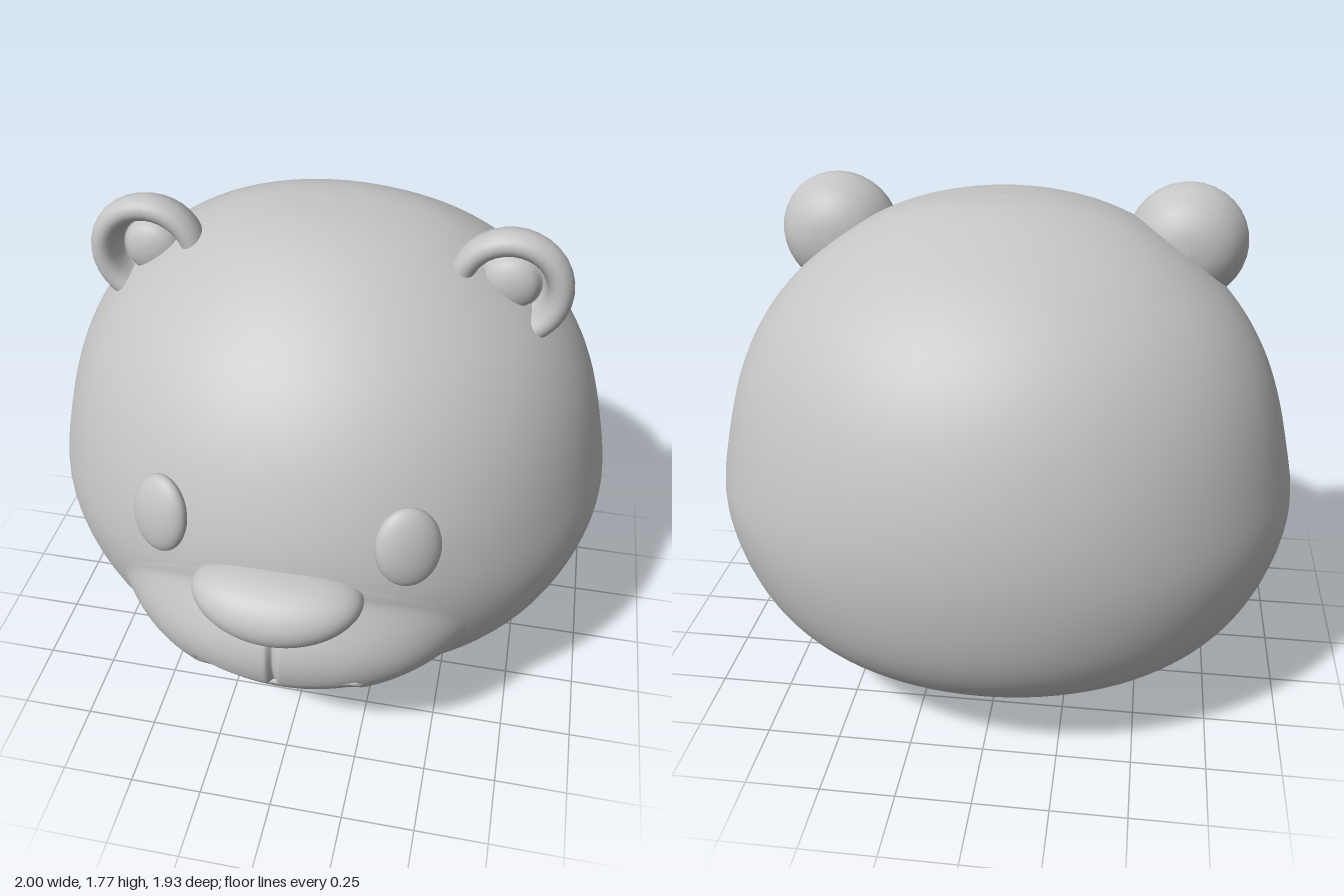
import * as THREE from 'three';

const grey = new THREE.MeshStandardMaterial({ name: 'plain grey', color: 0xc4c4c4 });

// head sections from bottom to top: height, half width, front z, back z
const sections = [
  [0, 0, -0.12, -0.12], [0.012, 0.2, 0, -0.25], [0.05, 0.4, 0.13, -0.39],
  [0.13, 0.6, 0.31, -0.58], [0.27, 0.8, 0.58, -0.8], [0.45, 0.93, 0.74, -0.92],
  [0.7, 1, 0.81, -0.968], [0.95, 0.965, 0.8, -0.95], [1.2, 0.89, 0.71, -0.87],
  [1.4, 0.77, 0.58, -0.75], [1.56, 0.6, 0.41, -0.58], [1.68, 0.4, 0.22, -0.38],
  [1.735, 0.2, 0.06, -0.25], [1.75, 0, -0.12, -0.12],
];
const MID_Z = -0.13;
const spline = (f) => new THREE.CatmullRomCurve3(sections.map(f), false, 'catmullrom', 0.5);
const sideCurve = spline(([y, w]) => new THREE.Vector3(w, y, 0));
const depthCurve = spline(([, , f, b]) => new THREE.Vector3(f, b, 0));

// height of the head's front surface above the xy plane
function headZ(x, y) {
  let lo = 0, hi = 1;
  for (let i = 0; i < 24; i++) {
    const m = (lo + hi) / 2;
    if (sideCurve.getPoint(m).y < y) lo = m; else hi = m;
  }
  const w = sideCurve.getPoint(lo).x, f = depthCurve.getPoint(lo).x;
  return MID_Z + (f - MID_Z) * Math.sqrt(Math.max(0, 1 - (x / w) ** 2));
}

// surface closed around u, open along v
function loopSurface(nu, nv, fn) {
  const pos = [], idx = [];
  for (let j = 0; j <= nv; j++)
    for (let i = 0; i < nu; i++) pos.push(...fn((i / nu) * Math.PI * 2, j / nv));
  for (let j = 0; j < nv; j++)
    for (let i = 0; i < nu; i++) {
      const a = j * nu + i, b = j * nu + ((i + 1) % nu);
      idx.push(a, b, b + nu, a, b + nu, a + nu);
    }
  const g = new THREE.BufferGeometry();
  g.setAttribute('position', new THREE.Float32BufferAttribute(pos, 3));
  g.setIndex(idx);
  g.computeVertexNormals();
  return g;
}

function headGeometry() {
  return loopSurface(96, 78, (t, v) => {
    const s = sideCurve.getPoint(v), d = depthCurve.getPoint(v);
    const mid = THREE.MathUtils.lerp(-0.12, MID_Z, Math.min(1, s.x * 2));
    const c = Math.cos(t);
    return [s.x * Math.sin(t), s.y, mid + (c > 0 ? d.x - mid : mid - d.y) * c];
  });
}

// muzzle swelling blended into the face, with mouth and lip grooves
function muzzleGeometry() {
  const step = THREE.MathUtils.smoothstep;
  return loopSurface(200, 90, (t, r) => {
    const x = 0.68 * r * Math.cos(-t), y = 0.58 + 0.38 * r * Math.sin(-t);
    const q = (x / 0.6) ** 2 + ((y - 0.6) / 0.33) ** 2;
    const bulge = 0.45 + 0.46 * Math.sqrt(Math.max(0, 1 - q));
    const base = headZ(x, y), k = 0.08;
    let z = Math.max(base, bulge) + Math.max(0, k - Math.abs(base - bulge)) ** 2 / (4 * k);
    // mouth line, lower lip set back, and the cleft under the nose
    const lineY = 0.485 + 0.03 * (x / 0.27) ** 2;
    const fade = 1 - step(Math.abs(x), 0.22, 0.29);
    z -= 0.04 * fade * Math.exp(-(((y - lineY) / 0.014) ** 2));
    z -= 0.018 * fade * (1 - step(y, lineY - 0.02, lineY + 0.01)) * step(y, 0.35, 0.47);
    z -= 0.022 * Math.exp(-((x / 0.013) ** 2)) * step(y, 0.48, 0.5) * (1 - step(y, 0.7, 0.74));
    return [x, y, z - 0.025 * step(r, 0.86, 1)];
  });
}

// nose: ellipsoid with raised corners
function noseGeometry() {
  const g = new THREE.SphereGeometry(1, 48, 32), p = g.attributes.position;
  for (let i = 0; i < p.count; i++) {
    const a = p.getX(i), b = p.getY(i), c = p.getZ(i);
    p.setXYZ(i, 0.275 * a, 0.81 + 0.125 * b + 0.03 * a * a, 0.795 + 0.17 * c);
  }
  g.computeVertexNormals();
  return g;
}

// ear: domed back, rounded rim, hollow front with a soft pad
function earGeometry() {
  const profile = new THREE.SplineCurve([
    [0, -0.13], [0.08, -0.118], [0.15, -0.075], [0.195, 0], [0.203, 0.05], [0.185, 0.085],
    [0.155, 0.092], [0.128, 0.07], [0.112, 0.01], [0.1, 0], [0.08, 0.035], [0.04, 0.055], [0, 0.06],
  ].map(([x, y]) => new THREE.Vector2(x, y)));
  const pts = profile.getPoints(40);
  pts.forEach((p) => { p.x = Math.max(0, p.x); });
  return new THREE.LatheGeometry(pts, 32).rotateX(Math.PI / 2);
}

export function createModel() {
  const model = new THREE.Group();
  model.name = 'bearHead';
  const add = (name, geometry) => {
    const mesh = new THREE.Mesh(geometry, grey);
    mesh.name = name;
    model.add(mesh);
    return mesh;
  };

  add('head', headGeometry());
  add('muzzle', muzzleGeometry());
  add('nose', noseGeometry());

  const ear = earGeometry();
  const eye = new THREE.SphereGeometry(1, 32, 24).scale(0.107, 0.14, 0.05);
  for (const [side, s] of [['left', 1], ['right', -1]]) {
    add(side + 'Ear', ear).position.set(s * 0.595, 1.565, 0);
    const e = add(side + 'Eye', eye);
    e.position.set(s * 0.393, 1.025, 0.708);
    e.rotation.set(-0.17, s * 0.48, s * 0.1, 'YXZ');
  }
  return model;
}
